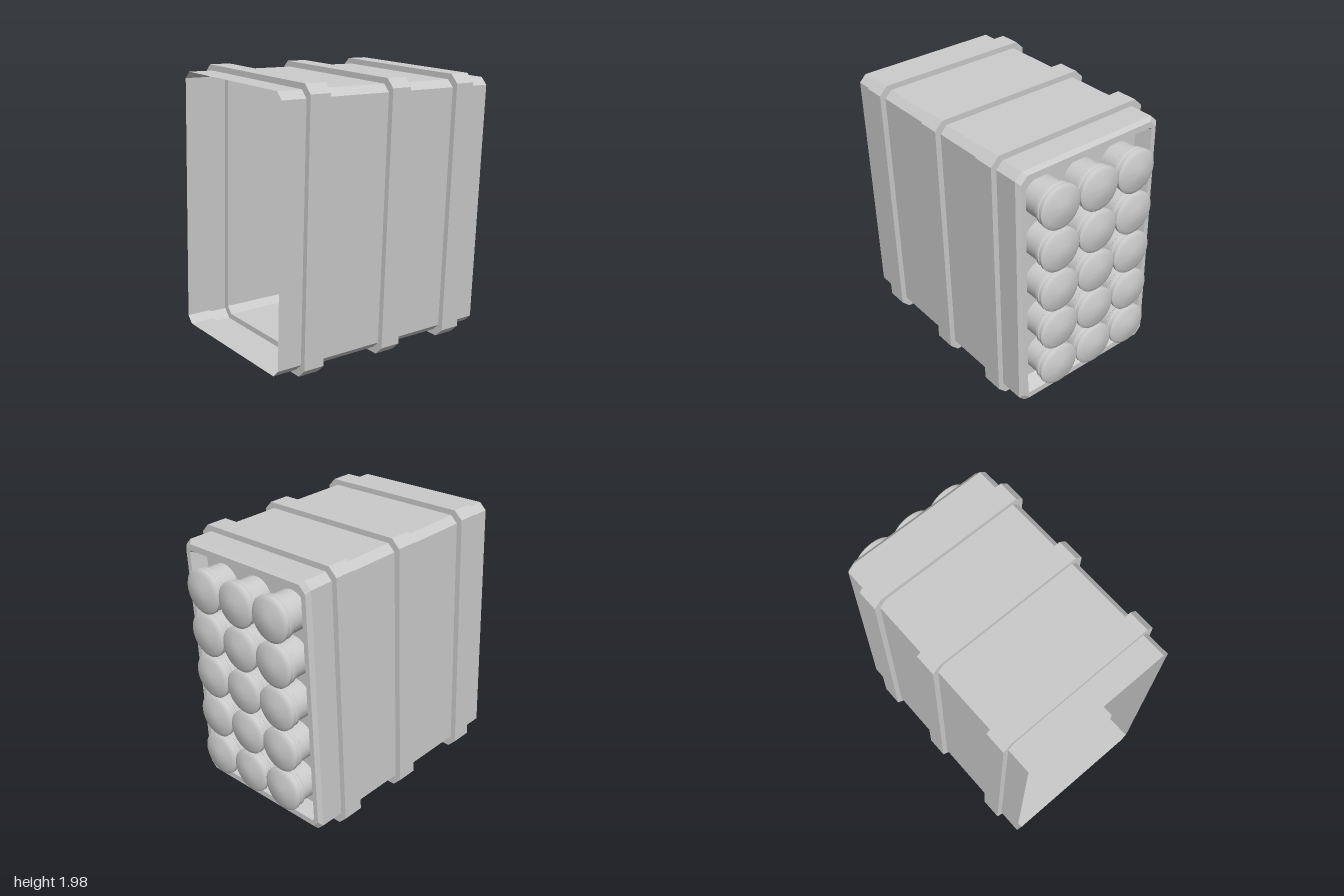
import * as THREE from 'three';
import { toCreasedNormals } from 'three/addons/utils/BufferGeometryUtils.js';

// Rectangle with cut corners, counter-clockwise seen from the front
function outline([z, w, h, c]) {
  return [[w, -h + c], [w, h - c], [w - c, h], [-w + c, h],
    [-w, h - c], [-w, -h + c], [-w + c, -h], [w - c, -h]].map(([x, y]) => [x, y, z]);
}

// Skin between successive outlines, front to back
function loft(sections) {
  const rings = sections.map(outline);
  const pos = [];
  for (let s = 0; s < rings.length - 1; s++) {
    const a = rings[s], b = rings[s + 1];
    for (let i = 0; i < a.length; i++) {
      const j = (i + 1) % a.length;
      pos.push(...a[i], ...b[i], ...b[j], ...a[i], ...b[j], ...a[j]);
    }
  }
  const g = new THREE.BufferGeometry();
  g.setAttribute('position', new THREE.Float32BufferAttribute(pos, 3));
  g.computeVertexNormals();
  return g;
}

export function createModel() {
  const model = new THREE.Group();
  model.name = 'launcherPod';
  const pod = new THREE.Group();
  pod.name = 'pod';
  model.add(pod);

  const shellMat = new THREE.MeshStandardMaterial({
    color: 0xcccccc, flatShading: true, side: THREE.DoubleSide });
  const tubeMat = new THREE.MeshStandardMaterial({ color: 0xcccccc });

  // Thin shell, open at the front, with three raised bands
  const W = 0.587, H = 0.925, C = 0.05, lift = 0.04, half = 0.078;
  const sections = [[0.89, W, H, C]];
  for (const z of [0.63, -0.03, -0.61]) {
    sections.push([z + half, W, H, C], [z + half, W + lift, H + lift, C + 0.01],
      [z - half, W + lift, H + lift, C + 0.01], [z - half, W, H, C]);
  }
  // Bevelled rear rim, then the tapered recess
  const panelZ = -0.78, panelW = 0.49, panelH = 0.815;
  sections.push([-0.865, W, H, C], [-0.89, W - 0.025, H - 0.025, C],
    [-0.89, 0.525, 0.855, 0.012], [panelZ, panelW, panelH, 0.01]);
  const shell = new THREE.Mesh(loft(sections), shellMat);
  shell.name = 'shell';
  pod.add(shell);

  // Panel at the bottom of the recess
  const panel = new THREE.Mesh(new THREE.PlaneGeometry(panelW * 2, panelH * 2), shellMat);
  panel.name = 'rearPanel';
  panel.position.z = panelZ;
  pod.add(panel);

  // Capped tubes in a 3 by 5 grid
  const profile = [[0, -0.002], [0.137, -0.002], [0.139, 0.12], [0.152, 0.13], [0.152, 0.15],
    [0.145, 0.156], [0.145, 0.168], [0.159, 0.174], [0.159, 0.192], [0.15, 0.2],
    [0.13, 0.207], [0.05, 0.23], [0, 0.232]].map(([r, y]) => new THREE.Vector2(r, y));
  const tubeGeo = toCreasedNormals(new THREE.LatheGeometry(profile, 32), 0.5);
  const pitch = 0.32;
  for (let row = -2; row <= 2; row++) {
    for (let col = -1; col <= 1; col++) {
      const tube = new THREE.Mesh(tubeGeo, tubeMat);
      tube.name = 'tube';
      tube.rotation.x = -Math.PI / 2;
      tube.position.set(col * pitch, row * pitch, panelZ);
      pod.add(tube);
    }
  }

  // Slight tilt of the whole pod
  pod.rotation.set(-0.012, -0.104, -0.036);
  pod.position.set(-0.003, 0.993, 0.045);
  return model;
}
